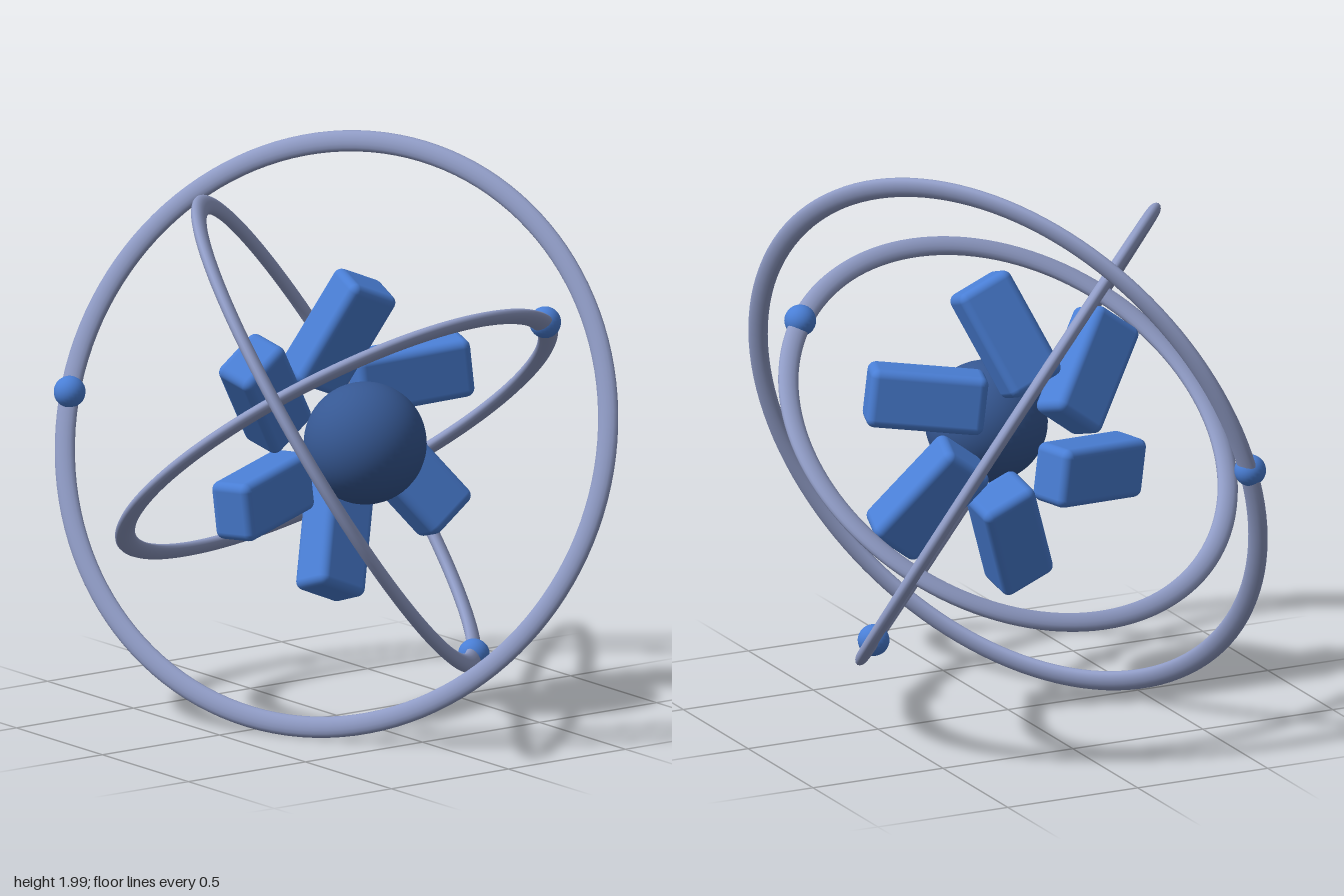
import * as THREE from 'three';
import { RoundedBoxGeometry } from 'three/addons/geometries/RoundedBoxGeometry.js';

const flat = (name, color) => {
  const m = new THREE.MeshStandardMaterial({ color });
  m.name = name;
  return m;
};

export function createModel() {
  const blue = flat('blue', 0x4a7fd6);
  const darkBlue = flat('darkBlue', 0x365893);
  const greyBlue = flat('greyBlue', 0x909cc6);

  const model = new THREE.Group();
  const core = new THREE.Group();
  core.name = 'core';
  core.position.y = 1.003;
  model.add(core);

  const add = (parent, name, geometry, material) => {
    const mesh = new THREE.Mesh(geometry, material);
    mesh.name = name;
    parent.add(mesh);
    return mesh;
  };

  // Central ball, set forward of the blades
  add(core, 'nucleus', new THREE.SphereGeometry(0.212, 48, 32), darkBlue).position.z = 0.167;

  // Six rounded blades, swept sideways and leaning forward at the tips
  const bladeGeometry = new RoundedBoxGeometry(0.208, 0.41, 0.16, 3, 0.03);
  for (let i = 0; i < 6; i++) {
    const spoke = new THREE.Group();
    spoke.name = 'bladeSpoke';
    spoke.rotation.z = (i * Math.PI) / 3;
    core.add(spoke);
    const blade = add(spoke, 'blade', bladeGeometry, blue);
    blade.position.set(0.008, 0.36, 0.003);
    blade.rotation.order = 'ZXY';
    blade.rotation.set(0.35, 0, -0.4);
  }

  // Flattened orbit rings, each with its axis and a small ball riding on it
  const orbits = [
    { radius: 0.81, axis: [-0.095, 0.787, -0.61], ball: [0.605, 0.385, 0.39] },
    { radius: 0.912, axis: [0.672, 0.519, 0.527], ball: [0.37, -0.775, 0.295] },
    { radius: 1.018, axis: [0.825, -0.332, -0.457], ball: [-0.49, 0.05, -0.885] },
  ];
  const zAxis = new THREE.Vector3(0, 0, 1);
  for (const { radius, axis, ball } of orbits) {
    const ring = add(core, 'orbitRing', new THREE.TorusGeometry(radius, 0.037, 16, 128), greyBlue);
    ring.scale.z = 0.6;
    ring.quaternion.setFromUnitVectors(zAxis, new THREE.Vector3(...axis).normalize());
    add(core, 'orbitBall', new THREE.SphereGeometry(0.055, 24, 16), blue).position.set(...ball);
  }
  return model;
}
